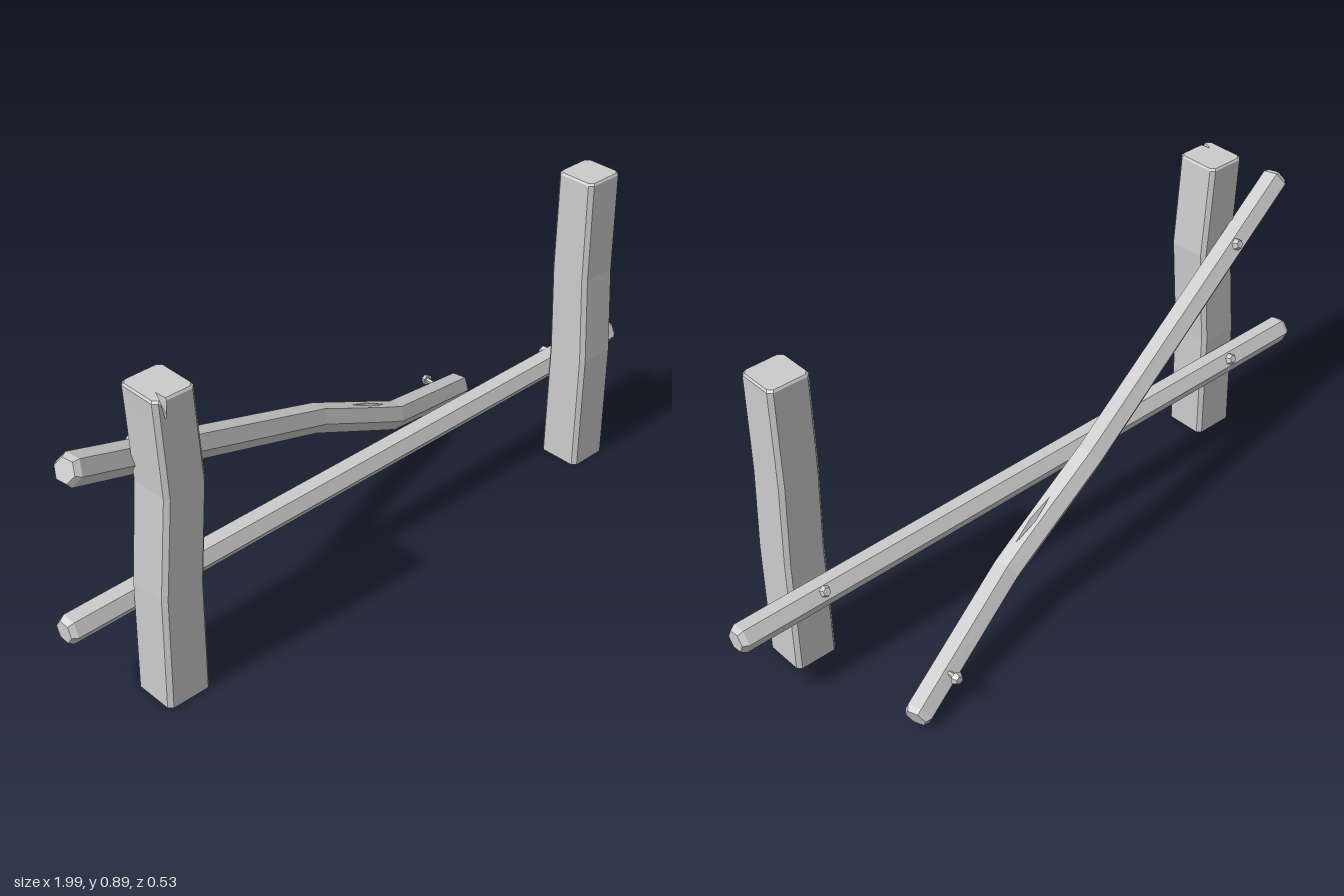
import * as THREE from 'three';

const V = (x, y, z) => new THREE.Vector3(x, y, z);
const mat = new THREE.MeshStandardMaterial({ color: 0xcccccc, flatShading: true });

// Skins a list of rings { c, u, v, pts } (pts counter-clockwise, u x v points forward) and caps both ends
function loft(rings, name) {
  const n = rings[0].pts.length, pos = [], idx = [];
  for (const { c, u, v, pts } of rings)
    for (const [a, b] of pts) pos.push(...c.clone().addScaledVector(u, a).addScaledVector(v, b).toArray());
  for (let r = 0; r < rings.length - 1; r++)
    for (let i = 0; i < n; i++) {
      const a = r * n + i, b = r * n + (i + 1) % n;
      idx.push(a, b, b + n, a, b + n, a + n);
    }
  const cap = (r, flip) => {
    const flat = rings[r].pts.map(([x, y]) => new THREE.Vector2(x, y));
    for (const [a, b, c] of THREE.ShapeUtils.triangulateShape(flat, []))
      idx.push(...(flip ? [c, b, a] : [a, b, c]).map(i => i + r * n));
  };
  cap(0, true);
  cap(rings.length - 1, false);
  let geo = new THREE.BufferGeometry();
  geo.setAttribute('position', new THREE.Float32BufferAttribute(pos, 3));
  geo.setIndex(idx);
  geo = geo.toNonIndexed();
  geo.computeVertexNormals();
  const mesh = new THREE.Mesh(geo, mat);
  mesh.name = name;
  return mesh;
}

// Square post with chamfered corners; stations are [y, x, z, width, depth, crack depth]
function post(stations, name) {
  return loft(stations.map(([y, x, z, w, d, crack = 0]) => {
    const a = w / 2, b = d / 2, k = 0.011;
    const half = crack ? 0.008 : 0.002;
    return {
      c: V(x, y, z), u: V(1, 0, 0), v: V(0, 0, -1),
      pts: [[-a + k, -b], [-0.033 - half, -b], [-0.028, -b + crack], [-0.033 + half, -b],
        [a - k, -b], [a, -b + k], [a, b - k], [a - k, b], [-a + k, b], [-a, b - k], [-a, -b + k]],
    };
  }), name);
}

// Hexagonal log along stations [x, y, z, radius, gouge depth], with a bevel at each end
function log(stations, name, turn = 0.08) {
  const p = stations.map(s => V(s[0], s[1], s[2]));
  const last = p.length - 1;
  const rings = [];
  p.forEach((c, i) => {
    const T = p[Math.min(i + 1, last)].clone().sub(p[i === last ? i - 1 : i]).normalize();
    if (i > 0 && i < last) T.add(c.clone().sub(p[i - 1]).normalize()).normalize();
    const v = V(0, 1, 0).addScaledVector(T, -T.y).normalize();
    const u = v.clone().cross(T);
    const section = (r, dip) => {
      const pts = [];
      for (let k = 0; k < 6; k++) {
        const t = k * Math.PI / 3 + turn;
        pts.push([r * Math.cos(t), r * Math.sin(t)]);
      }
      // three points across the top face form the gouge
      const [A, B] = [pts[1], pts[2]];
      const at = (f, d) => [A[0] + (B[0] - A[0]) * f, A[1] + (B[1] - A[1]) * f - d];
      const w = dip ? 0.22 : 0.03;
      pts.splice(2, 0, at(0.5 - w, 0), at(0.5, dip), at(0.5 + w, 0));
      return pts;
    };
    const [, , , r, dip = 0] = stations[i];
    const body = { c, u, v, pts: section(r, dip) };
    const bevel = s => ({ c: c.clone().addScaledVector(T, s * 0.015), u, v, pts: section(r * 0.75, 0) });
    if (i === 0) rings.push(bevel(-1));
    rings.push(body);
    if (i === last) rings.push(bevel(1));
  });
  return loft(rings, name);
}

// Nail with a faceted head; "at" is the head centre, "dir" points outwards
function nail(at, dir, name) {
  const g = new THREE.Group();
  g.name = name;
  const head = new THREE.Mesh(new THREE.CylinderGeometry(0.011, 0.018, 0.014, 6), mat);
  head.name = 'nailHead';
  const shaft = new THREE.Mesh(new THREE.CylinderGeometry(0.007, 0.007, 0.06, 6), mat);
  shaft.name = 'nailShaft';
  shaft.position.y = -0.03;
  g.add(head, shaft);
  g.position.copy(at);
  g.quaternion.setFromUnitVectors(V(0, 1, 0), dir.normalize());
  return g;
}

export function createModel() {
  const model = new THREE.Group();
  model.name = 'brokenFence';

  // Upright posts
  model.add(post([
    [0, -0.745, 0.194, 0.13, 0.128], [0.33, -0.744, 0.194, 0.126, 0.128],
    [0.62, -0.729, 0.204, 0.122, 0.128], [0.84, -0.744, 0.204, 0.118, 0.128],
    [0.884, -0.747, 0.204, 0.118, 0.128, 0.03], [0.89, -0.747, 0.204, 0.11, 0.12, 0.03],
  ], 'rightPost'));
  model.add(post([
    [0, 0.74, 0.194, 0.124, 0.128], [0.35, 0.74, 0.194, 0.122, 0.126],
    [0.6, 0.74, 0.18, 0.12, 0.122], [0.884, 0.741, 0.178, 0.12, 0.118],
    [0.89, 0.741, 0.178, 0.112, 0.11],
  ], 'leftPost'));

  // Level rail behind the posts
  model.add(log([[-0.975, 0.257, 0.106, 0.039], [0.98, 0.257, 0.09, 0.039]], 'levelRail'));

  // Fallen rail, bent twice, with a gouge between the bends
  const a = V(-0.05, 0.352, -0.05), b = V(0.29, 0.182, -0.097);
  const between = (t, dip) => [...a.clone().lerp(b, t).toArray(), 0.041, dip];
  model.add(log([
    [-0.97, 0.742, 0.162, 0.041], [...a.toArray(), 0.041],
    between(0.42, 0), between(0.62, 0.018), between(0.82, 0),
    [...b.toArray(), 0.041], [0.695, 0.04, -0.228, 0.04],
  ], 'fallenRail'));

  // Nails
  model.add(nail(V(-0.735, 0.668, 0.072), V(0, 0.45, -1), 'fallenRailNail'));
  model.add(nail(V(0.585, 0.102, -0.252), V(0, 0.1, -1), 'looseNail'));
  for (const [x, z] of [[-0.735, 0.068], [0.74, 0.063]])
    model.add(nail(V(x, 0.28, z), V(0, 0.5, -1), 'levelRailNail'));
  return model;
}
